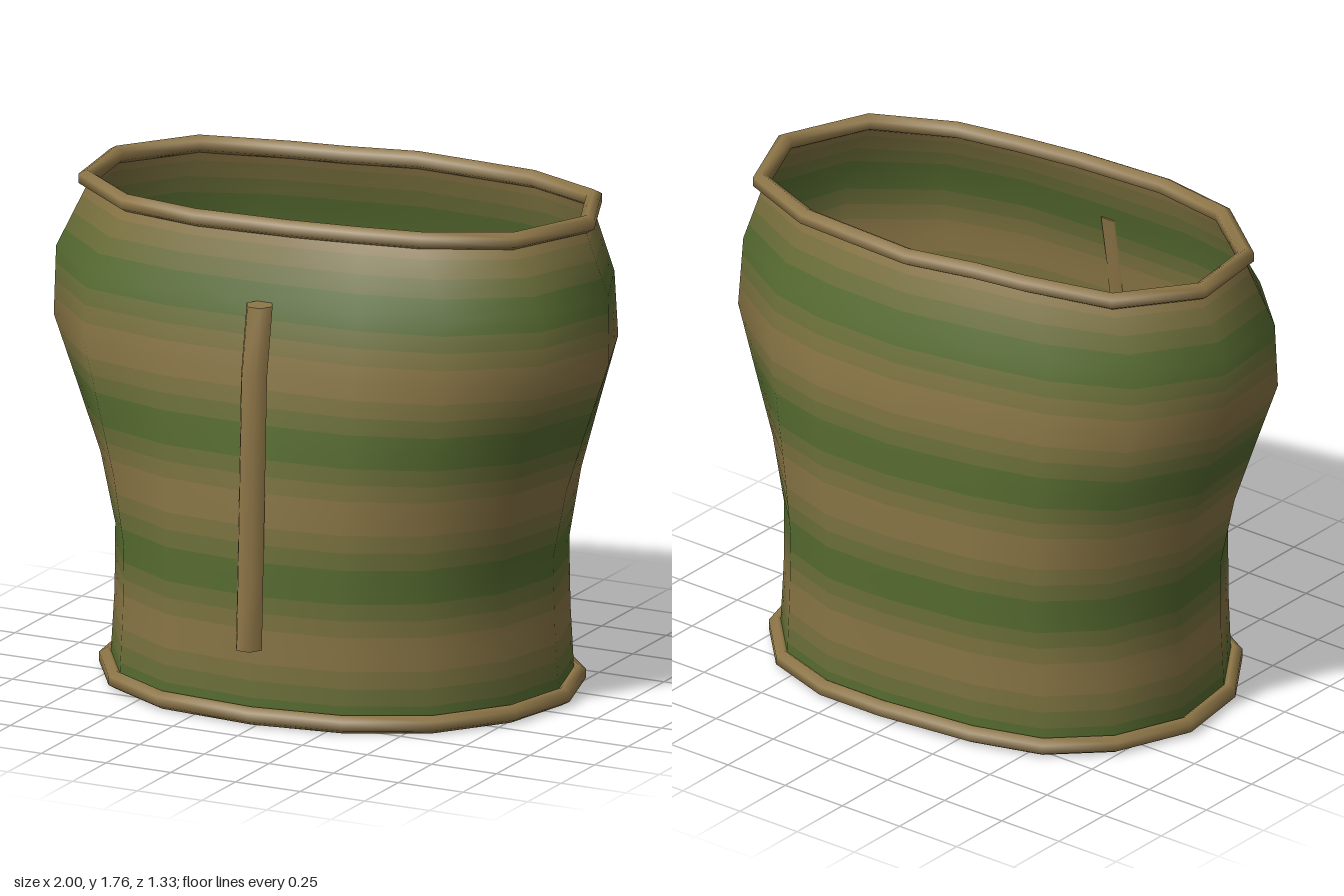
import * as THREE from 'three';

const BROWN = 0x8f7748, GREEN = 0x4b6a2c;
const SIDES = 16, STEPS = 4;

// Cross-sections as [x, z], running from the left side round the back
const HEM = [[.82, -.09], [.74, -.36], [.56, -.55], [.31, -.635], [.06, -.635], [-.3, -.595], [-.55, -.52], [-.73, -.35],
  [-.835, -.09], [-.79, .2], [-.63, .44], [-.38, .58], [-.02, .61], [.31, .56], [.58, .42], [.76, .18]];
const CHEST = [[1, -.09], [.87, -.41], [.59, -.585], [.36, -.635], [.02, -.64], [-.3, -.58], [-.55, -.52], [-.82, -.38],
  [-1, -.09], [-.97, .25], [-.73, .49], [-.4, .55], [-.02, .55], [.33, .53], [.63, .445], [.9, .235]];
const COLLAR = [[.91, -.1], [.79, -.385], [.5, -.5], [.28, -.51], [.04, -.52], [-.21, -.46], [-.4, -.43], [-.72, -.35],
  [-.91, -.1], [-.87, .2], [-.61, .4], [-.32, .445], [.03, .42], [.27, .385], [.5, .34], [.78, .2]];

const ring = (y, from, to, t, sx = 1, sz = 1) => from.map(([x, z], i) => new THREE.Vector3(
  THREE.MathUtils.lerp(x, to[i][0], t) * sx, y, THREE.MathUtils.lerp(z, to[i][1], t) * sz));

const RINGS = [
  ring(.035, HEM, HEM, 0, .985, .985),
  ring(.28, HEM, CHEST, 0, .965, .985),
  ring(.52, HEM, CHEST, .1, .935, 1),
  ring(.77, HEM, CHEST, .3, .955, 1.01),
  ring(1.005, HEM, CHEST, .65, .975, 1.01),
  ring(1.25, CHEST, CHEST, 0),
  ring(1.49, CHEST, COLLAR, 0, 1, .93),
  ring(1.735, COLLAR, COLLAR, 0, .985, .985),
];

const material = (color) => new THREE.MeshStandardMaterial({ color, side: THREE.DoubleSide });

function gridIndex(rows) {
  const index = [];
  for (let r = 0; r < rows; r++) {
    for (let i = 0; i < SIDES; i++) {
      const a = r * SIDES + i, b = r * SIDES + (i + 1) % SIDES;
      index.push(a, b, b + SIDES, a, b + SIDES, a + SIDES);
    }
  }
  return index;
}

// Open body, each gap between rings cut into rows that fade from one colour to the next
function makeBody() {
  const coarse = new THREE.BufferGeometry().setFromPoints(RINGS.flat());
  coarse.setIndex(gridIndex(RINGS.length - 1));
  coarse.computeVertexNormals();
  const rows = (RINGS.length - 1) * STEPS;

  const refine = (attribute) => {
    const out = [], a = new THREE.Vector3(), b = new THREE.Vector3();
    for (let r = 0; r <= rows; r++) {
      const k = Math.min(Math.floor(r / STEPS), RINGS.length - 2);
      for (let i = 0; i < SIDES; i++) {
        a.fromBufferAttribute(attribute, k * SIDES + i);
        b.fromBufferAttribute(attribute, (k + 1) * SIDES + i);
        out.push(...a.lerp(b, r / STEPS - k));
      }
    }
    return new THREE.Float32BufferAttribute(out, 3);
  };

  const geometry = new THREE.BufferGeometry();
  geometry.setAttribute('position', refine(coarse.attributes.position));
  geometry.setAttribute('normal', refine(coarse.attributes.normal));
  geometry.setIndex(gridIndex(rows));

  const shades = [];
  for (let s = 0; s < STEPS; s++) {
    shades.push(material(new THREE.Color(GREEN).lerp(new THREE.Color(BROWN), (s + .5) / STEPS)));
  }
  for (let r = 0; r < rows; r++) {
    const s = r % STEPS, rising = Math.floor(r / STEPS) % 2 === 0;
    geometry.addGroup(r * SIDES * 6, SIDES * 6, rising ? s : STEPS - 1 - s);
  }
  return new THREE.Mesh(geometry, shades);
}

// Six-sided piping whose corners meet the corners of the cross-section
function makeRim(y, section) {
  const curve = new THREE.CatmullRomCurve3(ring(y, section, section, 0), true);
  curve.getPointAt = curve.getPoint;
  curve.getTangentAt = curve.getTangent;
  return new THREE.Mesh(new THREE.TubeGeometry(curve, SIDES, .032, 6, true), material(BROWN));
}

// Front strip, leaning back with the chest
function makeStrip() {
  const geometry = new THREE.CylinderGeometry(.05, .05, 1.21, 6, 5);
  geometry.rotateY(Math.PI / 2);
  geometry.translate(-.02, .885, 0);
  const p = geometry.attributes.position;
  for (let i = 0; i < p.count; i++) {
    const y = p.getY(i);
    const lean = y < 1.26 ? .628 - (y - .28) * .04 : .589 - (y - 1.248) * .17;
    p.setZ(i, p.getZ(i) + lean);
  }
  geometry.computeVertexNormals();
  return new THREE.Mesh(geometry, material(BROWN));
}

export function createModel() {
  const model = new THREE.Group();
  model.name = 'vest';
  const parts = {
    body: makeBody(),
    hemRim: makeRim(.035, HEM),
    collarRim: makeRim(1.735, COLLAR),
    frontStrip: makeStrip(),
  };
  for (const [name, mesh] of Object.entries(parts)) {
    mesh.name = name;
    model.add(mesh);
  }
  return model;
}
